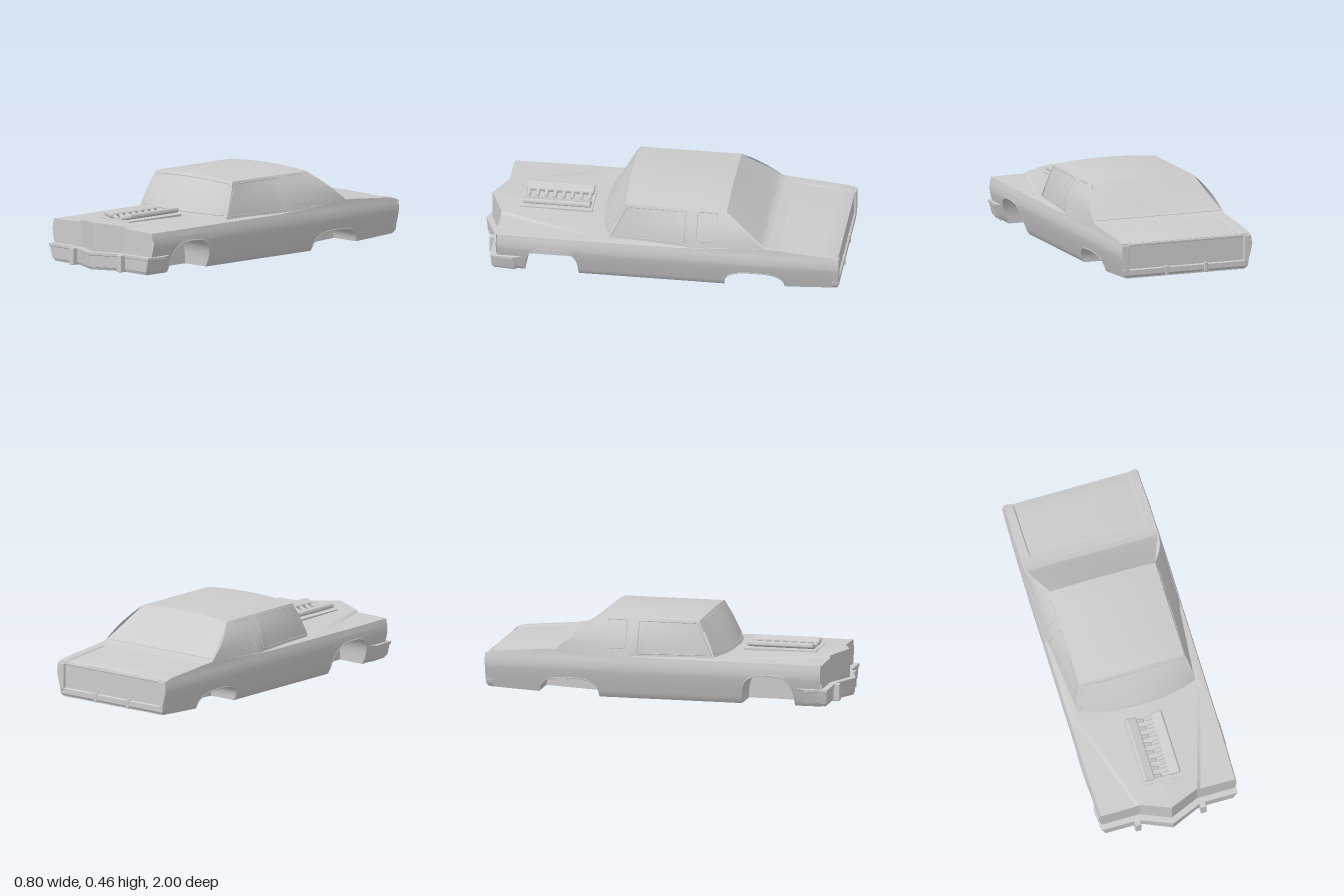
import * as THREE from 'three';
import { toCreasedNormals } from 'three/addons/utils/BufferGeometryUtils.js';
import { RoundedBoxGeometry } from 'three/addons/geometries/RoundedBoxGeometry.js';

const lerp = THREE.MathUtils.lerp;
const mat = new THREE.MeshStandardMaterial({ color: 0xcccccc, side: THREE.DoubleSide });

// Piecewise linear lookup; keys ascending
function table(pts, v) {
  if (v <= pts[0][0]) return pts[0][1];
  for (let i = 1; i < pts.length; i++) {
    const [a, p] = pts[i - 1], [b, q] = pts[i];
    if (v <= b) return lerp(p, q, (v - a) / (b - a));
  }
  return pts[pts.length - 1][1];
}

// Surface through rows of [x, y, z] points
function skin(rows, crease = 0.5) {
  const n = rows[0].length, idx = [];
  for (let i = 0; i < rows.length - 1; i++)
    for (let j = 0; j < n - 1; j++) {
      const a = i * n + j, b = a + n;
      idx.push(a, b, a + 1, b, b + 1, a + 1);
    }
  const g = new THREE.BufferGeometry();
  g.setAttribute('position', new THREE.Float32BufferAttribute(rows.flat(2), 3));
  g.setIndex(idx);
  return toCreasedNormals(g, crease);
}

const steps = (n, a = 0, b = 1) => Array.from({ length: n + 1 }, (_, i) => lerp(a, b, i / n));

// Body section, plan taper, shoulder and sill heights
const SECTION = [[0, 0.342], [0.02, 0.356], [0.1, 0.382], [0.14, 0.393], [0.165, 0.398], [0.2, 0.396], [0.235, 0.388], [0.27, 0.384]];
const PLAN = [[-1, 0.972], [-0.8, 0.99], [-0.5, 1], [0.6, 1], [0.9, 0.985]];
const SHOULDER = [[-0.985, 0.226], [-0.95, 0.236], [-0.64, 0.262], [-0.56, 0.264], [-0.4, 0.252], [-0.1, 0.237], [0.9, 0.235]];
const halfWidth = (y, z) => table(SECTION, y) * table(PLAN, z);
const shoulder = z => table(SHOULDER, z);
const sill = z => (z > -0.36 ? 0 : (-0.36 - z) * 0.05);

// Wheel arches
const ARCHES = [{ c: 0.59, h: 0.15, top: 0.166, n: 3 }, { c: -0.53, h: 0.17, top: 0.102, n: 2.8 }];
const WELL = 0.18;
const archZ = a => steps(32).map(t => a.c + a.h * Math.cos(t * Math.PI));
const archY = (a, z) => {
  const u = Math.min(1, Math.abs(z - a.c) / a.h);
  return Math.max(sill(z), a.top * Math.pow(Math.max(0, 1 - Math.pow(u, a.n)), 1 / a.n));
};
const archAt = z => ARCHES.find(a => Math.abs(z - a.c) < a.h + 1e-6);
const bottom = z => { const a = archAt(z); return a ? archY(a, z) : sill(z); };

// Cabin side surface, s runs front to back and t bottom to top
const BELT = 0.232, EAVE = 0.438;
function sidePoint(s, t) {
  const z = lerp(lerp(0.28, -0.6, s), lerp(0.19, -0.37, s), t);
  const base = table([[0, 0.336], [0.47, 0.374], [0.53, 0.386], [1, 0.384]], s);
  const y = lerp(lerp(BELT, 0.26, Math.max(0, s * 2 - 1)), EAVE, t);
  return [lerp(base, 0.3, t) + (0.004 + 0.015 * s) * Math.sin(Math.PI * t), y, z];
}
function sideAt(z, y) {
  const t = (y - BELT) / (EAVE - BELT);
  const a = lerp(0.28, 0.19, t), b = lerp(-0.6, -0.37, t);
  const p = sidePoint((a - z) / (a - b), t);
  return new THREE.Vector3(p[0], y, z);
}
const roofPoint = (u, v) => [0.3 * u, EAVE + 0.02 * (1 - u * u) - 0.006 * Math.pow(2 * v - 1, 4) * (1 - u * u), lerp(0.19, -0.37, v) + (v < 0.5 ? 0.008 * (1 - u * u) : 0)];
function screenPoint(u, t) {
  const top = roofPoint(u, 0), base = [0.336 * u, 0.246, 0.34 - 0.06 * u * u];
  return base.map((v, i) => lerp(v, top[i], t) + (i === 2 ? 0.006 * Math.sin(Math.PI * t) : 0));
}

export function createModel() {
  const car = new THREE.Group();
  const add = (name, geo, x = 0, y = 0, z = 0) => {
    const m = new THREE.Mesh(geo, mat);
    m.name = name;
    m.position.set(x, y, z);
    car.add(m);
    return m;
  };
  const trim = (name, pts, closed = true, r = 0.003) => {
    const path = new THREE.CurvePath();
    pts.forEach((p, i) => { if (i) path.add(new THREE.LineCurve3(pts[i - 1], p)); });
    if (closed) path.add(new THREE.LineCurve3(pts[pts.length - 1], pts[0]));
    return add(name, new THREE.TubeGeometry(path, 96, r, 5, closed));
  };
  const flip = (rows, k) => rows.map(r => r.map(([x, y, z]) => [k * x, y, z]));

  // Stations along the body, dense at the arches
  const edges = ARCHES.flatMap(a => [a.c + a.h + 0.001, a.c - a.h - 0.001]);
  const zs = [...steps(40, 0.89, -0.985).filter(z => !archAt(z)), ...ARCHES.flatMap(archZ), ...edges].sort((a, b) => b - a);

  for (const k of [1, -1]) {
    const side = k > 0 ? 'left' : 'right';
    add(side + 'BodySide', skin(flip(zs.map(z => steps(14).map(t => {
      const y = lerp(bottom(z), shoulder(z), t);
      return [halfWidth(y, z), y, z];
    })), k), 0.7));

    // Wheel wells with arch lips
    for (const a of ARCHES) {
      const name = side + (a.c > 0 ? 'Front' : 'Rear');
      add(name + 'WheelWell', skin(flip(archZ(a).map(z => {
        const y = archY(a, z);
        return [[halfWidth(y, z), y, z], [WELL, y, z], [WELL, sill(z), z]];
      }), k)));
      trim(name + 'ArchLip', archZ(a).map(z => {
        const y = archY(a, z);
        return new THREE.Vector3(k * halfWidth(y, z), y + 0.003, z);
      }), false, 0.004);
    }

    // Cabin side with window outlines
    add(side + 'CabinSide', skin(flip(steps(32).map(s => steps(12).map(t => sidePoint(s, t))), k), 0.6));
    const windows = {
      DoorWindow: [[0.265, 0.255], [0.18, 0.425], [-0.145, 0.425], [-0.145, 0.255]],
      QuarterWindow: [[-0.21, 0.295], [-0.21, 0.415], [-0.225, 0.428], [-0.32, 0.428], [-0.32, 0.3], [-0.305, 0.28], [-0.225, 0.28]],
    };
    for (const [name, pts] of Object.entries(windows)) {
      const line = pts.flatMap((p, i) => {
        const q = pts[(i + 1) % pts.length];
        return steps(7).slice(0, -1).map(t => sideAt(lerp(p[0], q[0], t), lerp(p[1], q[1], t)));
      });
      line.forEach(p => { p.x *= k; });
      trim(side + name, line);
    }
  }

  // Floor, narrowed between the wheel wells
  add('floor', skin(zs.map(z => {
    const w = archAt(z) ? WELL : halfWidth(sill(z), z);
    return [[-w, sill(z), z], [w, sill(z), z]];
  })));

  // Hood with raised, tapering centre panel, running under the cabin
  const noseZ = x => 0.895 + 0.07 * Math.max(0, 1 - Math.abs(x) / 0.165);
  const hood = [0.9, 0.8, 0.6, 0.45, 0.3, 0.1, -0.1, -0.3, -0.56].map((z, i) => {
    const c = Math.min(0.345, lerp(0.165, 0.345, (0.9 - z) / 0.6));
    const e = shoulder(z), w = halfWidth(e, z);
    const high = table([[-0.56, 0.262], [0.3, 0.25], [0.9, 0.262]], z);
    const half = [[0, high], [c * 0.5, high - 0.004], [c, Math.max(high - 0.01, e)], [c + 0.018, e + 0.004], [w, e]];
    const row = [...half.slice(1).reverse().map(([x, y]) => [-x, y]), ...half];
    return row.map(([x, y]) => [x, y, i ? z : noseZ(x)]);
  });
  add('hood', skin(hood, 0.08));

  // Front fascia with pointed grille
  add('frontFascia', skin(steps(8).map(t => hood[0].map(([x, y, z], j) => {
    const ny = lerp(y, 0.02, t);
    return [j % 8 ? x : Math.sign(x) * halfWidth(ny, 0.9), ny, z];
  })), 0.15));

  // Front bumper wrapped around the nose
  const bumperPlan = [[-0.398, 0.8], [-0.387, 0.927], [-0.2, 0.927], [-0.165, 0.932], [0, 1], [0.165, 0.932], [0.2, 0.927], [0.387, 0.927], [0.398, 0.8]];
  const bumperProfile = [[0.006, 0.91, 0.015], [0.02, 0.93, 0.01], [0.022, 0.945, 0.006], [0.085, 0.99, 0.004], [0.088, 1, 0], [0.102, 1, 0], [0.104, 0.96, 0.05]];
  const bumperRows = bumperProfile.map(([y, s, d]) => bumperPlan.map(([x, z]) => [x * s, y, z - d]));
  bumperRows.unshift(bumperRows[0].map(([x, y, z]) => [x, y, Math.min(z, 0.84)]));
  add('frontBumper', skin(bumperRows, 0.3));
  for (const k of [1, -1]) {
    add('frontBumperGuard', new RoundedBoxGeometry(0.034, 0.095, 0.05, 2, 0.005), k * 0.186, 0.054, 0.93);
    add('rearBumperGuard', new RoundedBoxGeometry(0.022, 0.055, 0.03, 2, 0.004), k * 0.115, 0.062, -0.985);
  }

  // Roof and glass
  const us = steps(20, -1, 1);
  add('roof', skin(steps(16).map(v => us.map(u => roofPoint(u, v)))));
  add('windshield', skin(steps(8).map(t => us.map(u => screenPoint(u, t)))));
  const rim = [...us.map(u => [u * 0.95, 0.08]), ...us.map(u => [-u * 0.95, 0.92])];
  trim('windshieldTrim', rim.map(([u, t]) => new THREE.Vector3(...screenPoint(u, t))));
  add('rearWindow', skin(steps(12).map(t => us.map(u => {
    const top = roofPoint(u, 1);
    const z = lerp(-0.37, -0.66, t);
    const y = table([[0, top[1]], [0.3, lerp(top[1], 0.268, 0.4)], [0.73, 0.276], [1, 0.262]], t);
    return [u * table([[0, 0.3], [0.73, 0.376], [1, 0.374]], t), y, z];
  })), 0.6));
  add('rearWindowSeal', new THREE.BoxGeometry(0.73, 0.005, 0.008), 0, 0.276, -0.582);

  // Trunk lid between raised fender edges
  add('trunk', skin([-0.56, -0.62, -0.7, -0.8, -0.9, -0.95, -0.985].map(z => {
    const e = shoulder(z), w = halfWidth(e, z), d = z < -0.65 ? 0.006 : 0;
    const half = [[0, e + 0.003], [0.18, e + 0.001], [0.326, e - d], [0.333, e + 0.002], [w, e]];
    return [...half.slice(1).reverse().map(([x, y]) => [-x, y, z]), ...half.map(([x, y]) => [x, y, z])];
  }), 0.3));

  // Rear panel, corner lamps and bumper
  add('rearPanel', skin(steps(10).map(t => {
    const y = lerp(sill(-0.985), 0.226, t), w = halfWidth(y, -0.985);
    return [[-w, y, -0.985], [w, y, -0.985]];
  })));
  const lamp = new THREE.Shape();
  lamp.moveTo(0.343, 0.075);
  lamp.lineTo(0.343, 0.215);
  steps(6, 0.218, 0.072).forEach(y => lamp.lineTo(halfWidth(y, -0.985) - 0.005, y));
  const lampGeo = new THREE.ExtrudeGeometry(lamp, { depth: 0.02, bevelSize: 0.005, bevelThickness: 0.005, bevelSegments: 2 });
  add('leftTailLamp', lampGeo, 0, 0, -0.995);
  add('rightTailLamp', lampGeo, 0, 0, -0.995).scale.x = -1;
  const rearRows = [[0.03, -0.97, 0.348], [0.04, -0.99, 0.356], [0.05, -0.996, 0.362], [0.078, -0.996, 0.368], [0.083, -0.984, 0.368]];
  add('rearBumper', skin(rearRows.map(([y, z, w]) => [[-w, y, -0.96], [-w, y, z], [w, y, z], [w, y, -0.96]])));
  add('trunkLip', new RoundedBoxGeometry(0.68, 0.012, 0.014, 2, 0.004), 0, 0.218, -0.986);

  // Engine rising through the hood
  add('engineTray', new THREE.BoxGeometry(0.224, 0.014, 0.4), 0, 0.254, 0.6);
  for (const k of [1, -1]) {
    const cover = add('valveCover', new RoundedBoxGeometry(0.064, 0.028, 0.375, 3, 0.011), k * 0.073, 0.28, 0.597);
    cover.rotation.z = k * 0.25;
    for (let i = 0; i < 8; i++) {
      const runner = add('intakeRunner', new THREE.CapsuleGeometry(0.012, 0.03, 4, 8), k * 0.027, 0.267, 0.43 + i * 0.048);
      runner.rotation.z = Math.PI / 2 + k * 0.3;
    }
  }
  return car;
}
